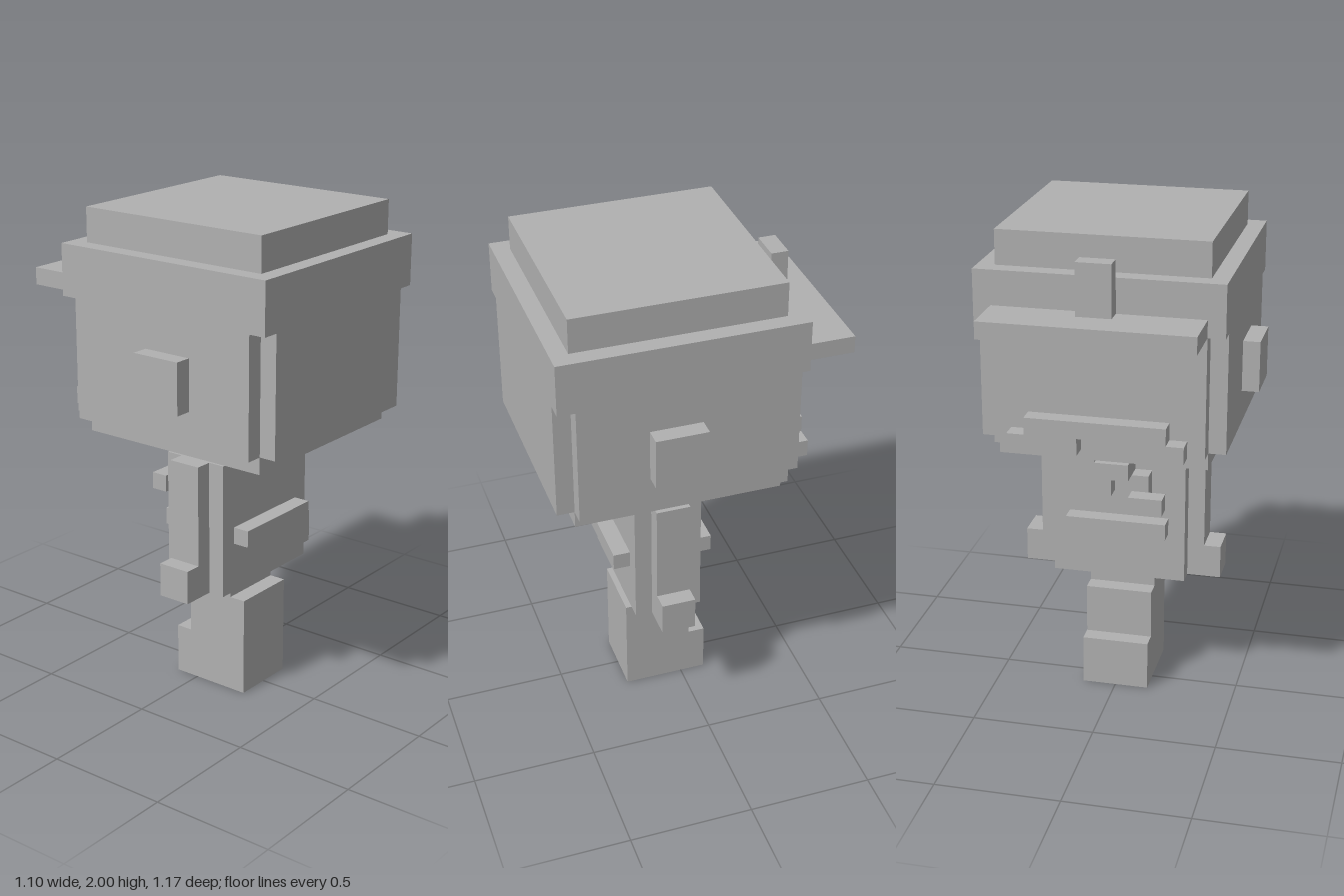
import * as THREE from 'three';

// One block unit: the figure is 29 blocks tall
const U = 2 / 29;

export function createModel() {
  const model = new THREE.Group();
  model.name = 'blockFigure';
  const grey = new THREE.MeshStandardMaterial({ color: 0xb0b0b0 });
  grey.name = 'grey';

  // Box from min/max corners in block units
  function block(name, x0, x1, y0, y1, z0, z1) {
    const geo = new THREE.BoxGeometry((x1 - x0) * U, (y1 - y0) * U, (z1 - z0) * U);
    const mesh = new THREE.Mesh(geo, grey);
    mesh.name = name;
    mesh.position.set((x0 + x1) / 2 * U, (y0 + y1) / 2 * U, (z0 + z1) / 2 * U);
    model.add(mesh);
  }
  // Same box on both sides of the body
  function pair(name, x0, x1, ...rest) {
    block(name + 'Left', x0, x1, ...rest);
    block(name + 'Right', -x1, -x0, ...rest);
  }

  // Legs and feet
  block('legs', -2, 2, 0, 6, -0.5, 3.5);
  block('feet', -2, 2, 0, 3, -1.5, -0.5);
  block('hips', -2, 2, 6, 7, 0.5, 2.5);

  // Torso, arms and belt
  block('torso', -4, 4, 7, 15, -0.5, 3.5);
  pair('arm', 4, 5, 7, 15, 0.5, 2.5);
  pair('hand', 5, 6, 7, 9, 0.5, 2.5);
  block('beltBack', -3, 3, 10, 11, 3.5, 4.5);
  block('beltFace', -3, 3, 10, 11, -1.5, -0.5);
  block('neck', -1, 1, 15, 16, 0.5, 2.5);

  // Knotted scarf on the chest
  block('scarfBase', -1, 1, 13, 15, -1.5, -0.5);
  block('scarfWing', 1, 3, 14, 15, -1.5, -0.5);
  block('scarfLowerWing', -2, -1, 12, 14, -1.5, -0.5);
  block('scarfKnot', 0, 2, 13, 15, -2.5, -1.5);
  block('scarfLoop', 1, 2, 15, 16, -2.5, -1.5);
  block('scarfSmallLoop', -1, 0, 14, 15, -2.5, -1.5);
  block('scarfTail', -3, -1, 12, 13, -2.5, -1.5);

  // Head with stepped edges
  block('chin', -6, 6, 16, 17, -4.5, 7.5);
  block('head', -7, 7, 17, 24, -4.5, 7.5);
  block('face', -6, 6, 17, 24, -5.5, -4.5);
  block('headBack', -6, 6, 17, 24, 7.5, 8.5);
  pair('ear', 7, 8, 19, 22, 0.5, 3.5);

  // Moustache with drooping ends
  block('moustache', -4, 4, 18, 19, -6.5, -5.5);
  pair('moustacheEnd', 1, 5, 17, 18, -6.5, -5.5);

  // Cap
  block('capBand', -7, 7, 24, 27, -5.5, 8.5);
  block('capCrown', -6, 6, 27, 29, -4.5, 7.5);
  block('capVisor', -6, 6, 24, 25, -8.5, -5.5);
  block('capBadge', -1, 1, 25, 28, -6.5, -5.5);

  return model;
}
